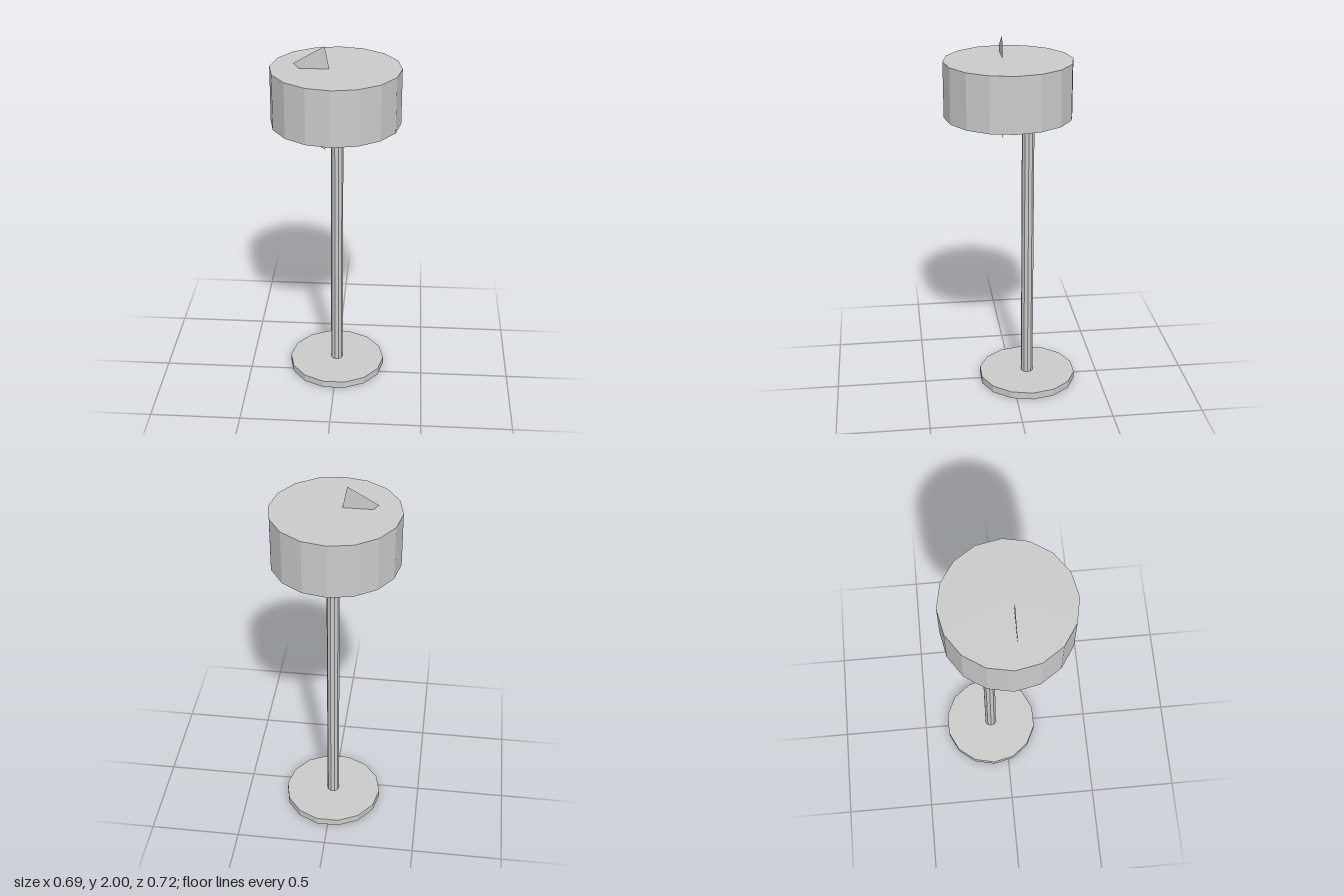
import * as THREE from 'three';

const material = new THREE.MeshStandardMaterial({ color: 0xcccccc, flatShading: true, side: THREE.DoubleSide });

function add(group, name, geometry, x, y, z) {
  const mesh = new THREE.Mesh(geometry, material);
  mesh.name = name;
  mesh.position.set(x, y, z);
  group.add(mesh);
  return mesh;
}

// Upright faceted cylinder from y0 to y1, with a corner on the x axis
function drum(group, name, radius, y0, y1, z, sides) {
  const geometry = new THREE.CylinderGeometry(radius, radius, y1 - y0, sides);
  geometry.rotateY(Math.PI / 2);
  return add(group, name, geometry, 0, (y0 + y1) / 2, z);
}

export function createModel() {
  const model = new THREE.Group();
  model.name = 'standingFan';

  // Stand
  drum(model, 'base', 0.274, 0, 0.04, -0.09, 14);
  drum(model, 'pole', 0.034, 0.04, 1.585, -0.09, 10);

  // Housing: closed on top, open underneath
  const profile = [[0, 1.88], [0.343, 1.88], [0.343, 1.58]].map(([r, y]) => new THREE.Vector2(r, y));
  add(model, 'housing', new THREE.LatheGeometry(profile, 16), 0, 0, 0.016);

  // Motor inside the housing
  drum(model, 'motor', 0.067, 1.66, 1.775, -0.12, 10);

  // Three flat triangular blades around the z axis
  const blades = new THREE.Group();
  blades.name = 'blades';
  blades.position.set(0, 1.717, 0.042);
  const blade = new THREE.Shape([
    new THREE.Vector2(0, 0),
    new THREE.Vector2(0.273, -0.094),
    new THREE.Vector2(0.273, 0.094),
  ]);
  const bladeGeometry = new THREE.ShapeGeometry(blade);
  for (let i = 0; i < 3; i++) {
    add(blades, 'blade', bladeGeometry, 0, 0, 0).rotation.z = (i * Math.PI * 2) / 3;
  }
  model.add(blades);

  return model;
}
